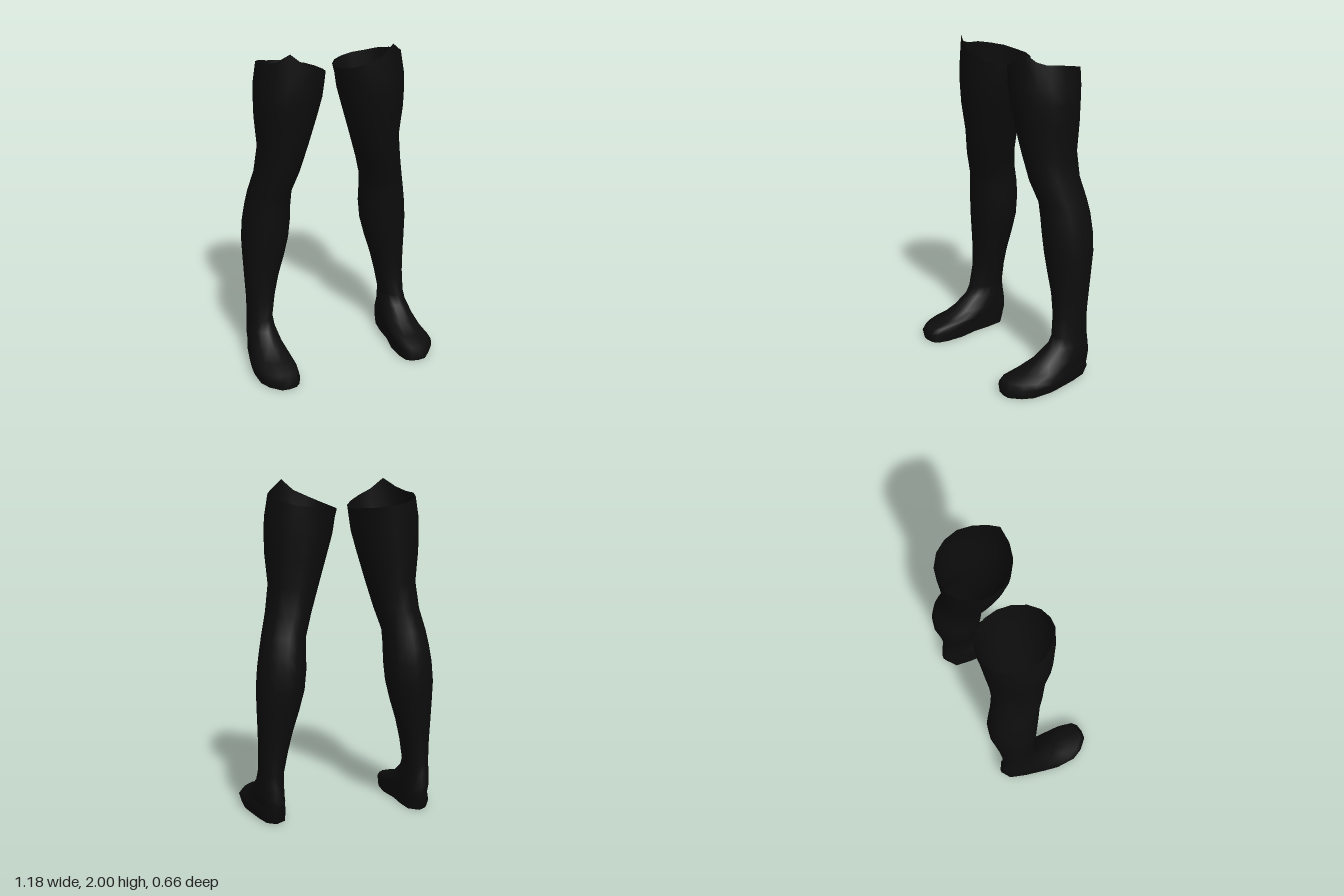
import * as THREE from 'three';

const SIDES = 16;

// Height of the open top edge around the thigh: outer side, front peak, inner side, back
const RIM = [1.92, 1.925, 1.95, 2.0, 1.935, 1.9, 1.87, 1.85, 1.84, 1.84, 1.845, 1.85, 1.86, 1.87, 1.89, 1.905];

// Footprint in unit space, same point order: ball, toes, arch, heel
const FOOT = [
  [1, 0.15], [0.97, 0.55], [0.7, 0.78], [0.2, 0.98], [-0.2, 1], [-0.62, 0.97], [-0.87, 0.88], [-1, 0.65],
  [-1, 0.28], [-0.8, -0.1], [-0.75, -0.5], [-0.62, -0.85], [-0.1, -1], [0.35, -0.88], [0.62, -0.55], [0.85, -0.15],
];

// Cross-sections: height, inner x, outer x, front z, back z, blend from ellipse to footprint
const LEG = [
  [1.9, 0.04, 0.44, 0.12, -0.313, 0],
  [1.79, 0.05, 0.462, 0.125, -0.305, 0],
  [1.7, 0.063, 0.466, 0.118, -0.297, 0],
  [1.58, 0.097, 0.464, 0.103, -0.287, 0],
  [1.4, 0.15, 0.447, 0.07, -0.27, 0],
  [1.24, 0.198, 0.468, 0.042, -0.272, 0],
  [1.11, 0.238, 0.5, 0.0, -0.3, 0],
  [1.02, 0.243, 0.517, -0.007, -0.32, 0],
  [0.92, 0.243, 0.533, -0.015, -0.331, 0],
  [0.8, 0.255, 0.543, -0.025, -0.328, 0],
  [0.68, 0.285, 0.54, -0.037, -0.31, 0],
  [0.55, 0.325, 0.535, -0.05, -0.29, 0],
  [0.42, 0.356, 0.53, -0.05, -0.275, 0],
  [0.29, 0.38, 0.53, -0.03, -0.27, 0],
  [0.23, 0.376, 0.537, 0.0, -0.278, 0.1],
  [0.155, 0.362, 0.553, 0.1, -0.291, 0.4],
  [0.11, 0.348, 0.563, 0.2, -0.291, 0.75],
  [0.085, 0.344, 0.575, 0.3, -0.288, 0.95],
  [0.055, 0.342, 0.59, 0.33, -0.285, 1],
  [0.0, 0.345, 0.574, 0.32, -0.265, 1],
];

// One horizontal ring of points
function ring([y, inner, outer, front, back, blend], side) {
  return RIM.map((rimY, k) => {
    const a = (k / SIDES) * Math.PI * 2;
    const u = THREE.MathUtils.lerp(Math.cos(a), FOOT[k][0], blend);
    const v = THREE.MathUtils.lerp(Math.sin(a), FOOT[k][1], blend);
    const x = (inner + outer) / 2 + (u * (outer - inner)) / 2;
    const z = (front + back) / 2 + (v * (front - back)) / 2;
    return [x * side, y === LEG[0][0] ? rimY : y, z];
  });
}

function geometry(points, triangles, side) {
  const g = new THREE.BufferGeometry();
  g.setAttribute('position', new THREE.Float32BufferAttribute(points.flat(), 3));
  // mirrored copies need their corner order reversed
  g.setIndex(triangles.flatMap(([a, b, c]) => (side > 0 ? [a, b, c] : [a, c, b])));
  g.computeVertexNormals();
  return g;
}

// Skin from thigh to foot, open at the top
function legGeometry(side) {
  const points = LEG.flatMap((row) => ring(row, side));
  const triangles = [];
  for (let r = 0; r < LEG.length - 1; r++) {
    for (let k = 0; k < SIDES; k++) {
      const n = (k + 1) % SIDES;
      const a = r * SIDES + k, b = r * SIDES + n;
      triangles.push([a, b, a + SIDES], [b, b + SIDES, a + SIDES]);
    }
  }
  return geometry(points, triangles, side);
}

// Flat underside of the foot
function soleGeometry(side) {
  const points = ring(LEG[LEG.length - 1], side);
  points.push([0.46 * side, 0, 0.03]);
  const triangles = FOOT.map((_, k) => [SIDES, k, (k + 1) % SIDES]);
  return geometry(points, triangles, side);
}

export function createModel() {
  const black = new THREE.MeshStandardMaterial({ color: 0x0d0d0d, side: THREE.DoubleSide });
  black.name = 'black fabric';

  const model = new THREE.Group();
  model.name = 'stockings';
  for (const side of [1, -1]) {
    const stocking = new THREE.Group();
    stocking.name = side > 0 ? 'leftStocking' : 'rightStocking';
    const leg = new THREE.Mesh(legGeometry(side), black);
    leg.name = 'leg';
    const sole = new THREE.Mesh(soleGeometry(side), black);
    sole.name = 'sole';
    stocking.add(leg, sole);
    model.add(stocking);
  }
  return model;
}
